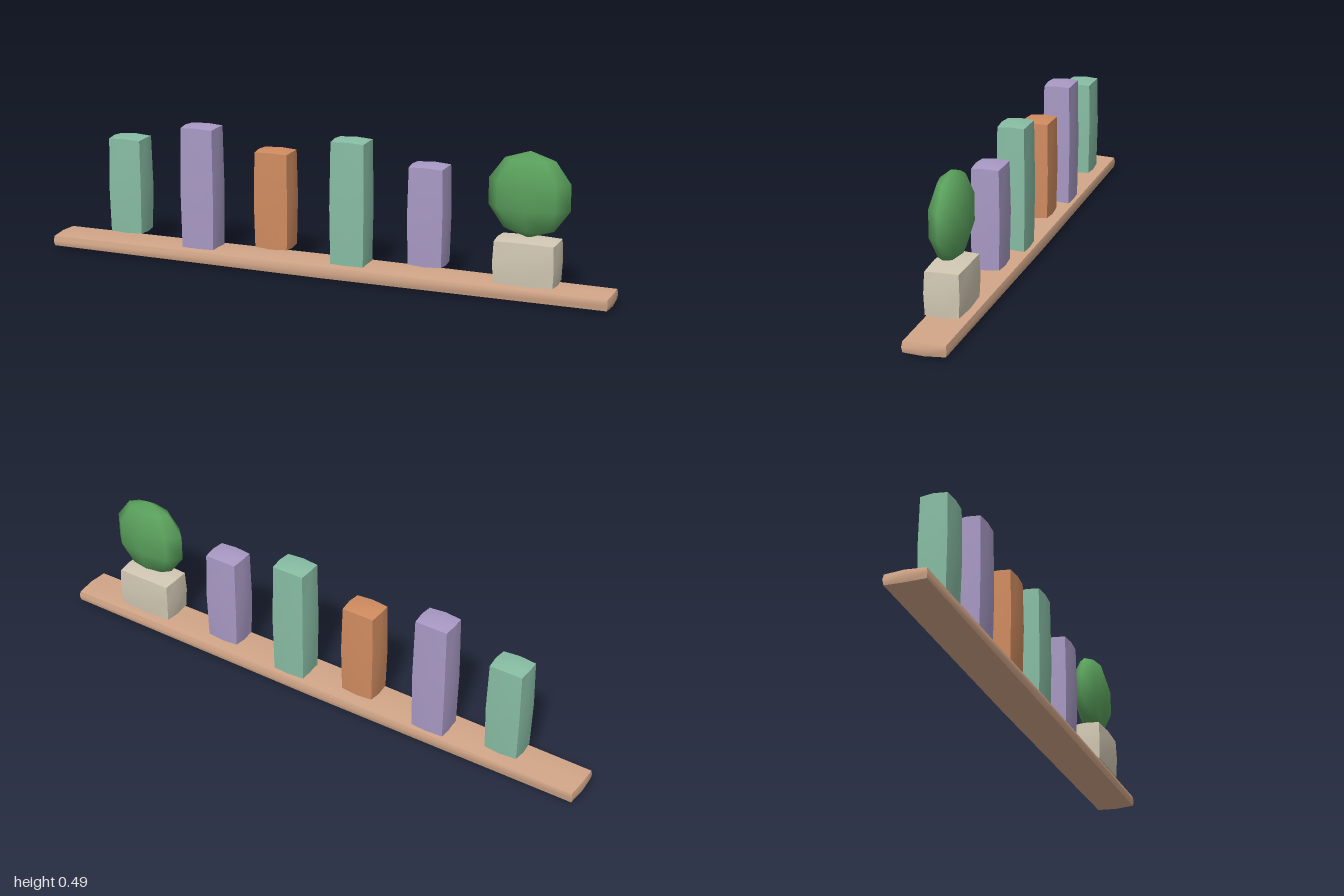
import * as THREE from 'three';

const paint = (name, color) => {
  const m = new THREE.MeshStandardMaterial({ color });
  m.name = name;
  return m;
};

// Box whose faces swell gently: edges and corners are pulled in by small fixed amounts
function bulgedBox(w, h, d) {
  const geo = new THREE.BoxGeometry(w, h, d, 2, 2, 2);
  const inset = [0, 0, 0.008, 0.011]; // by number of outer axes: face, edge, corner
  const pos = geo.attributes.position;
  for (let i = 0; i < pos.count; i++) {
    const p = [pos.getX(i), pos.getY(i), pos.getZ(i)];
    const outer = p.filter((v) => Math.abs(v) > 1e-6).length;
    const q = p.map((v) => (Math.abs(v) > 1e-6 ? v - Math.sign(v) * inset[outer] : 0));
    pos.setXYZ(i, ...q);
  }
  geo.computeVertexNormals(); // smooth inside a face, sharp at the edges
  return geo;
}

export function createModel() {
  const group = new THREE.Group();
  const green = paint('sage green', 0x88bda4);
  const purple = paint('lavender', 0xa899c4);
  const orange = paint('terracotta', 0xd08c60);
  const wood = paint('light wood', 0xd2a688);
  const stone = paint('stone', 0xd2c8b4);
  const leaf = paint('leaf green', 0x5aa05c);

  const add = (name, geo, mat, x, y, z) => {
    const mesh = new THREE.Mesh(geo, mat);
    mesh.name = name;
    mesh.position.set(x, y, z);
    group.add(mesh);
    return mesh;
  };

  // Shelf board
  add('shelf', bulgedBox(2, 0.057, 0.156), wood, 0, 0.0285, 0);

  // Row of books, alternating short and tall
  const books = [[green, 0.35], [purple, 0.47], [orange, 0.35], [green, 0.47], [purple, 0.35]];
  books.forEach(([mat, height], i) => {
    add(`book${i + 1}`, bulgedBox(0.137, height, 0.112), mat, -0.72 + i * 0.2725, 0.245, -0.007);
  });

  // Potted plant
  add('pot', bulgedBox(0.22, 0.16, 0.13), stone, 0.71, 0.13, 0.007);
  const plant = add('plant', new THREE.SphereGeometry(0.143, 8, 5), leaf, 0.71, 0.35, 0.006);
  plant.scale.set(1, 1, 0.42);

  return group;
}
